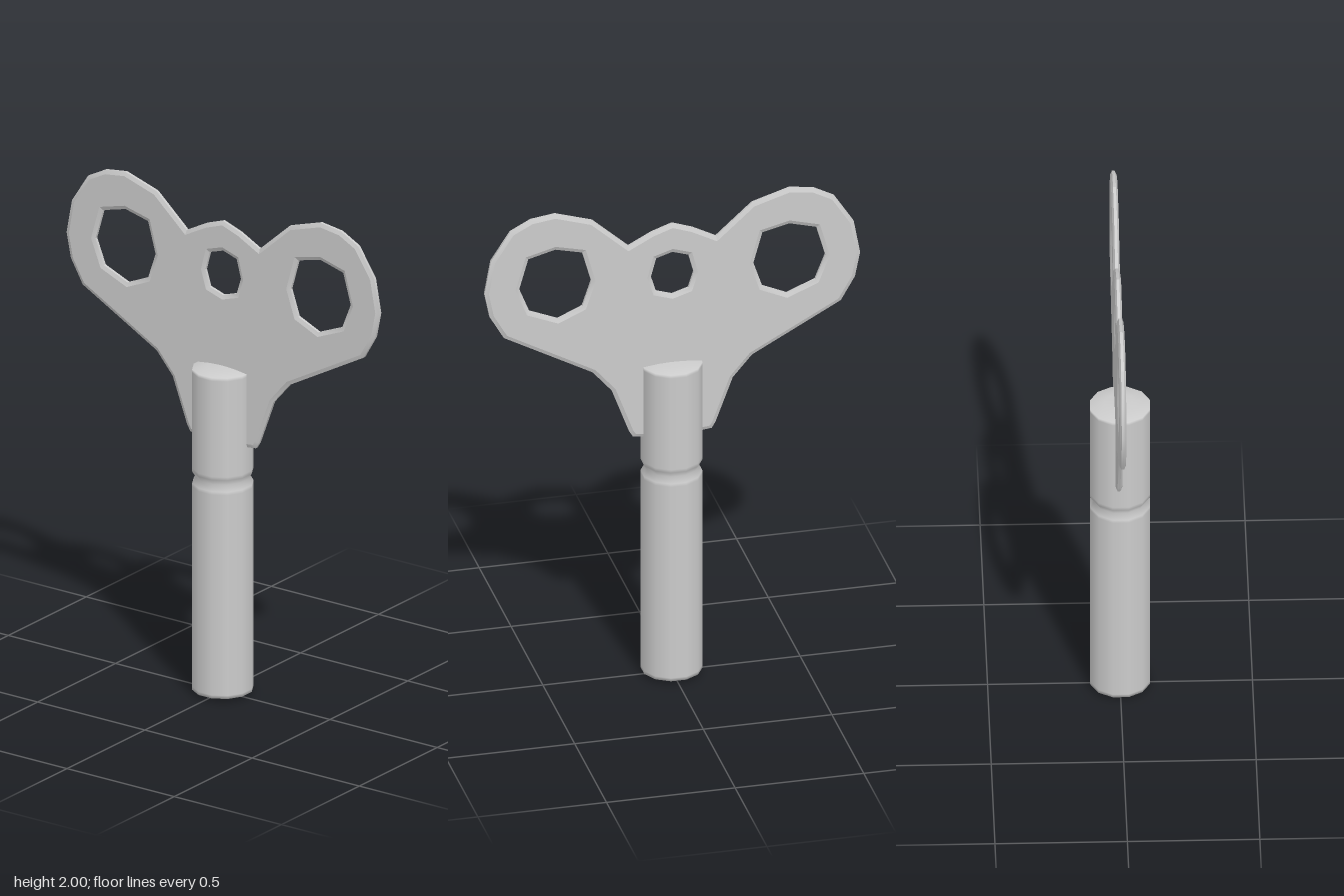
import * as THREE from 'three';
import { toCreasedNormals } from 'three/addons/utils/BufferGeometryUtils.js';

const mirror = pts => pts.map(([x, y]) => [-x, y]).reverse();
const vectors = pts => pts.map(([x, y]) => new THREE.Vector2(x, y));

export function createModel() {
  const group = new THREE.Group();
  const material = new THREE.MeshStandardMaterial({ color: 0xcccccc });
  const add = (name, geometry) => {
    const mesh = new THREE.Mesh(geometry, material);
    mesh.name = name;
    group.add(mesh);
  };

  // Round shaft with a narrow groove and slightly domed, softly shaded ends
  const profile = [
    [0, 0.003], [0.06, 0.007], [0.117, 0.017], [0.117, 0.03],
    [0.117, 0.84], [0.117, 0.853], [0.103, 0.877], [0.117, 0.9], [0.117, 0.913],
    [0.117, 1.3], [0.117, 1.313], [0.06, 1.32], [0, 1.323],
  ];
  add('shaft', new THREE.LatheGeometry(vectors(profile), 12, Math.PI / 12));

  // Half outline of the flat handle, from the foot up to the top
  const half = [
    [0.11, 1.015], [0.153, 1.02], [0.168, 1.045], [0.235, 1.225],
    [0.31, 1.312], [0.655, 1.5], [0.71, 1.595], [0.73, 1.695],
    [0.705, 1.83], [0.63, 1.945], [0.55, 1.987], [0.455, 2.0],
    [0.31, 1.955], [0.17, 1.83], [0.08, 1.877],
  ];
  const outline = new THREE.Shape(vectors([...half, [0, 1.905], ...mirror(half)]));

  // Large side holes and the small middle hole
  const sideHole = [
    [0.455, 1.85], [0.56, 1.822], [0.595, 1.7], [0.555, 1.6],
    [0.445, 1.555], [0.35, 1.597], [0.315, 1.7], [0.35, 1.825],
  ];
  const middleHalf = [[0.063, 1.765], [0.083, 1.69], [0.063, 1.625]];
  const middleHole = [[0, 1.785], ...middleHalf, [0, 1.605], ...mirror(middleHalf)];
  for (const hole of [sideHole, mirror(sideHole), middleHole]) {
    outline.holes.push(new THREE.Path(vectors(hole)));
  }

  // Thin plate with softened edges and flat faces
  const bevelSize = 0.015;
  const plate = new THREE.ExtrudeGeometry(outline, {
    depth: 0.011, bevelEnabled: true, bevelThickness: 0.007,
    bevelSize, bevelOffset: -bevelSize, bevelSegments: 1,
  });
  plate.translate(0, 0, -0.0135);
  add('handlePlate', toCreasedNormals(plate, 0.4));

  return group;
}
